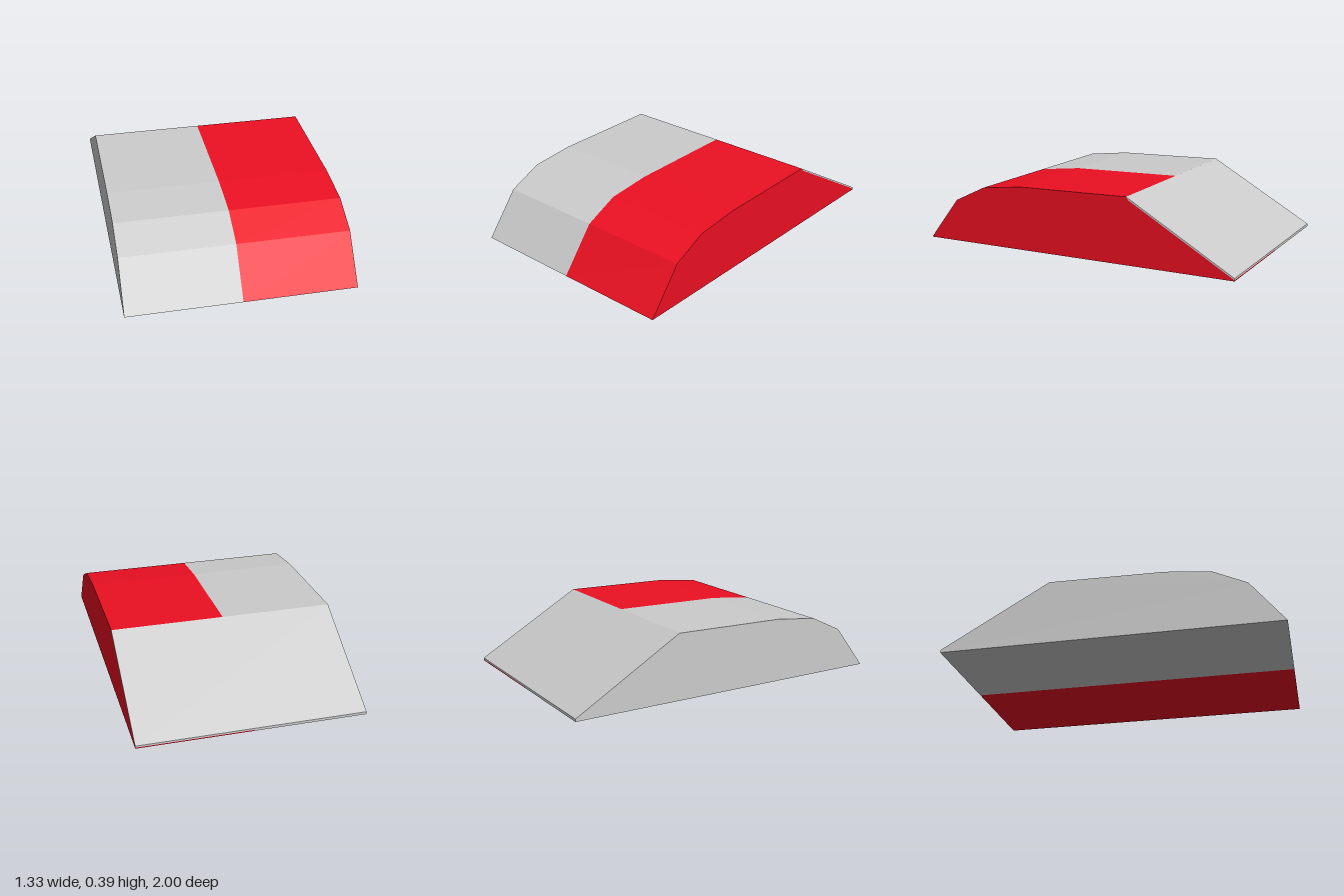
import * as THREE from 'three';

const HALF_WIDTH = 0.665;

// Extrudes a side profile of [z, y] points across the width, from x0 to x1
function extrudeProfile(name, points, x0, x1, color) {
  const shape = new THREE.Shape(points.map(([z, y]) => new THREE.Vector2(-z, y)));
  const geometry = new THREE.ExtrudeGeometry(shape, { depth: x1 - x0, bevelEnabled: false });
  geometry.rotateY(Math.PI / 2);
  geometry.translate(x0, 0, 0);
  const mesh = new THREE.Mesh(geometry, new THREE.MeshStandardMaterial({ color, flatShading: true }));
  mesh.name = name;
  return mesh;
}

export function createModel() {
  const group = new THREE.Group();
  group.name = 'slopedBlock';

  // Curved nose, nearly flat top and straight rear slope
  const body = [
    [1, 0], [0.8, 0.255], [0.6, 0.35], [0.33, 0.38],
    [-0.355, 0.392], [-0.37, 0.373], [-1, 0.006], [-1, 0],
  ];
  group.add(extrudeProfile('leftHalf', body, 0, HALF_WIDTH, 0xec1022));
  group.add(extrudeProfile('rightHalf', body, -HALF_WIDTH, 0, 0xcccccc));

  // Thin panel covering the rear slope over the full width
  const panel = [[-0.355, 0.392], [-1, 0.016], [-1, 0.006], [-0.37, 0.373]];
  group.add(extrudeProfile('rearPanel', panel, -HALF_WIDTH, HALF_WIDTH, 0xcccccc));

  return group;
}
